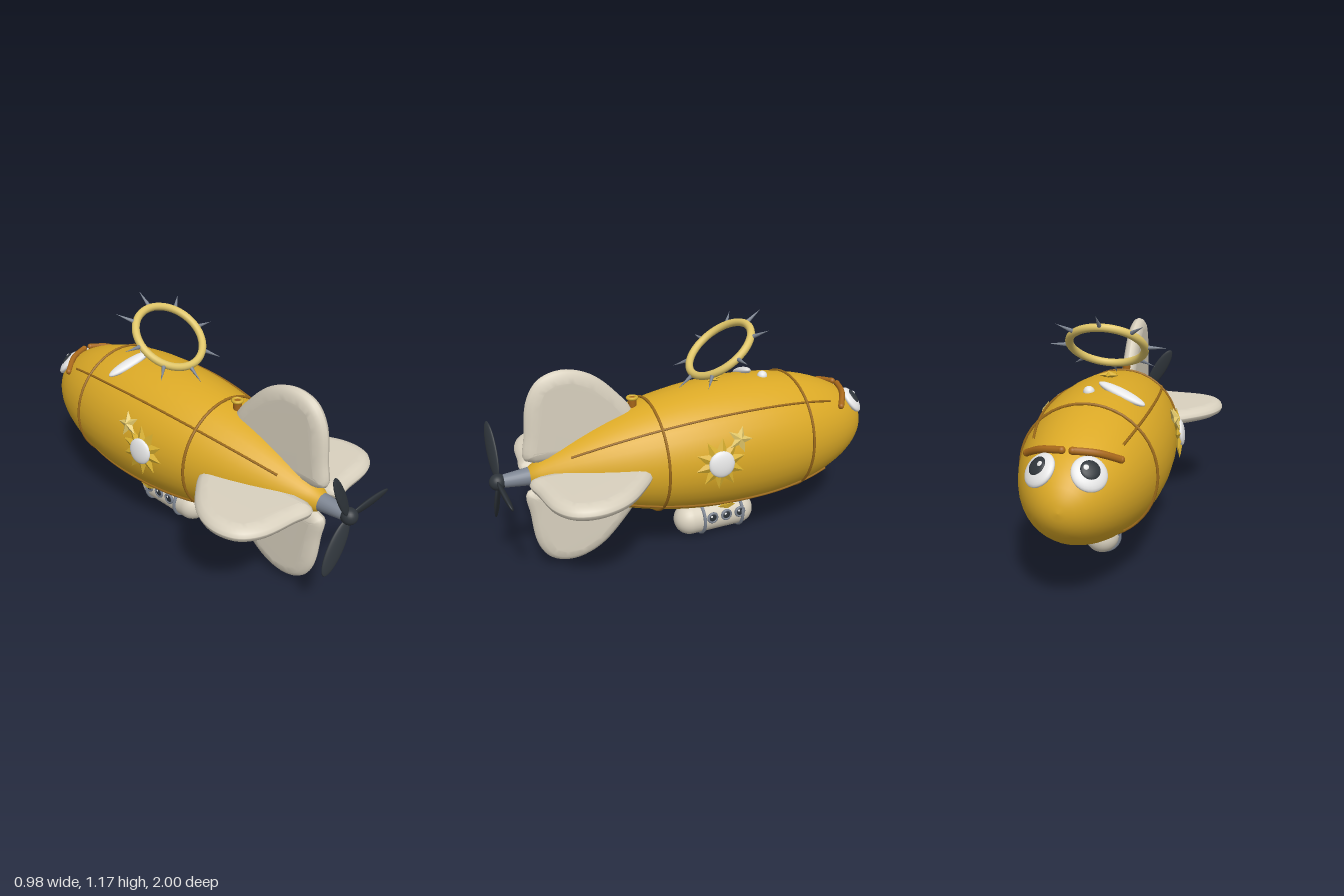
import * as THREE from 'three';
import { mergeVertices } from 'three/addons/utils/BufferGeometryUtils.js';

const AXIS_Y = 0.52;
const paint = (name, color, side = THREE.FrontSide) => {
  const m = new THREE.MeshStandardMaterial({ color, side });
  m.name = name;
  return m;
};

// Hull radius along z: elliptical nose, tapering tail
const hullRadius = (z) => z < -0.25
  ? 0.33 * Math.sqrt(Math.max(0, 1 - ((z + 0.25) / 0.75) ** 2))
  : 0.33 * (1 - ((z + 0.25) / 1.14) ** 2.16);

const hullPoint = (z, a, lift = 0) => {
  const r = hullRadius(z) + lift;
  return new THREE.Vector3(Math.cos(a) * r, AXIS_Y + Math.sin(a) * r, z);
};

// Seat an object on the hull with its local +z along the surface normal
function seat(object, z, a, lift = 0) {
  const slope = (hullRadius(z + 0.005) - hullRadius(z - 0.005)) / 0.01;
  const n = new THREE.Vector3(Math.cos(a), Math.sin(a), -slope).normalize();
  object.position.copy(hullPoint(z, a)).addScaledVector(n, lift);
  object.quaternion.setFromUnitVectors(new THREE.Vector3(0, 0, 1), n);
  return object;
}

// Faceted star with a raised centre
function starGeometry(points, outer, inner, height) {
  const pos = [];
  const corner = (i) => {
    const r = i % 2 ? inner : outer, a = Math.PI / 2 + (i * Math.PI) / points;
    return [Math.cos(a) * r, Math.sin(a) * r, 0];
  };
  for (let i = 0; i < points * 2; i++) {
    pos.push(0, 0, height, ...corner(i), ...corner(i + 1));
    pos.push(0, 0, -height, ...corner(i + 1), ...corner(i));
  }
  const g = new THREE.BufferGeometry();
  g.setAttribute('position', new THREE.Float32BufferAttribute(pos, 3));
  g.computeVertexNormals();
  return g;
}

export function createModel() {
  const model = new THREE.Group();
  model.name = 'airship';
  const gold = paint('hull gold', 0xdba926);
  const cream = paint('cream', 0xd9d1bf);
  const pale = paint('pale gold', 0xdfc568);
  const dark = paint('charcoal', 0x2f353b);
  const steel = paint('steel', 0x7d8592);
  const seam = paint('seam brown', 0x9c6a1a);
  const brow = paint('brow brown', 0xa8681a);
  const white = paint('white', 0xe6e6e6);
  const badge = paint('badge gold', 0xd8b030);

  const add = (name, geometry, material, parent = model) => {
    const m = new THREE.Mesh(geometry, material);
    m.name = name;
    parent.add(m);
    return m;
  };
  const group = (name, parent = model) => {
    const g = new THREE.Group();
    g.name = name;
    parent.add(g);
    return g;
  };
  const ball = (r) => new THREE.SphereGeometry(r, 24, 16);

  // Hull
  const profile = [];
  for (let i = 0; i <= 16; i++) {
    const z = -0.25 - 0.75 * Math.cos((i / 16) * Math.PI / 2);
    profile.push(new THREE.Vector2(hullRadius(z), z));
  }
  for (let i = 1; i <= 18; i++) {
    const z = -0.25 + (1.08 * i) / 18;
    profile.push(new THREE.Vector2(hullRadius(z), z));
  }
  profile.push(new THREE.Vector2(0, 0.83));
  add('hull', new THREE.LatheGeometry(profile, 36).rotateX(Math.PI / 2), gold).position.y = AXIS_Y;

  // Hull seams: two hoops and four lengthwise lines
  for (const z of [-0.54, 0.23]) {
    add('hoopSeam', new THREE.TorusGeometry(hullRadius(z) + 0.003, 0.007, 8, 48), seam).position.set(0, AXIS_Y, z);
  }
  for (let k = 0; k < 4; k++) {
    const path = [];
    for (let i = 0; i <= 14; i++) path.push(hullPoint(-0.7 + (1.34 * i) / 14, Math.PI / 4 + (k * Math.PI) / 2, 0.003));
    add('lengthSeam', new THREE.TubeGeometry(new THREE.CatmullRomCurve3(path), 40, 0.006, 6), seam);
  }

  // Four padded tail fins
  const outline = [[0.83, 0.08], [0.825, 0.2], [0.8, 0.37], [0.74, 0.457], [0.63, 0.488], [0.5, 0.45],
    [0.38, 0.345], [0.295, 0.22], [0.34, 0.12], [0.55, 0.075]].map(([z, r]) => new THREE.Vector3(z, r, 0));
  const smooth = new THREE.CatmullRomCurve3(outline, true).getPoints(48).slice(0, -1);
  let finGeometry = new THREE.ExtrudeGeometry(new THREE.Shape(smooth.map((p) => new THREE.Vector2(p.x, p.y))), {
    depth: 0.004, bevelThickness: 0.035, bevelSize: 0.055, bevelOffset: -0.055, bevelSegments: 3,
  });
  finGeometry.translate(0, 0, -0.002).rotateY(-Math.PI / 2);
  finGeometry.deleteAttribute('uv');
  finGeometry.deleteAttribute('normal');
  finGeometry = mergeVertices(finGeometry, 1e-4);
  finGeometry.computeVertexNormals();
  for (let k = 0; k < 4; k++) {
    const fin = add('tailFin', finGeometry, cream);
    fin.position.y = AXIS_Y;
    fin.rotation.z = (k * Math.PI) / 2;
  }

  // Propeller
  const propeller = group('propeller');
  propeller.position.set(0, AXIS_Y, 0.96);
  add('shaft', new THREE.CylinderGeometry(0.029, 0.045, 0.15, 24).rotateX(Math.PI / 2), steel, propeller).position.z = -0.085;
  add('hub', ball(0.039), dark, propeller);
  for (let k = 0; k < 3; k++) {
    const arm = group('bladeArm', propeller);
    arm.rotation.z = (k * Math.PI * 2) / 3;
    const blade = add('blade', ball(1), dark, arm);
    blade.scale.set(0.135, 0.041, 0.012);
    blade.position.x = 0.15;
    blade.rotation.x = 0.4;
  }

  // Tilted halo with spikes
  const halo = group('halo');
  halo.position.set(0, 1.003, -0.16);
  halo.rotation.x = -0.91;
  add('haloRing', new THREE.TorusGeometry(0.177, 0.019, 14, 56), pale, halo);
  for (let k = 0; k < 8; k++) {
    const arm = group('spikeArm', halo);
    arm.rotation.z = (k * Math.PI) / 4;
    add('spike', new THREE.ConeGeometry(0.011, 0.095, 10), steel, arm).position.y = 0.234;
  }

  // Sun badges and stars on both flanks
  for (const side of [0, 1]) {
    const mirror = (a) => (side ? Math.PI - a : a);
    const sun = seat(group('sunBadge'), -0.01, mirror(0.11), 0.006);
    add('sunRays', starGeometry(10, 0.125, 0.075, 0.03), badge, sun);
    const disc = add('sunDisc', ball(0.064), white, sun);
    disc.scale.z = 0.3;
    disc.position.z = 0.014;
    seat(add('paleStar', starGeometry(5, 0.065, 0.028, 0.02), pale), -0.11, mirror(0.41), 0.022);
    seat(add('lowerStar', starGeometry(5, 0.048, 0.021, 0.018), badge), -0.11, mirror(-0.915), 0.008);
  }
  seat(add('topStar', starGeometry(5, 0.05, 0.021, 0.018), badge), -0.12, Math.PI / 2, 0.01);
  seat(add('bellyStar', starGeometry(4, 0.04, 0.014, 0.012), white), -0.42, -Math.PI / 2, 0.005);

  // Eyes and brows
  for (const s of [1, -1]) {
    const eye = seat(group('eye'), -0.9, s > 0 ? 0.93 : Math.PI - 0.93, 0.002);
    add('eyeWhite', ball(0.075), white, eye).scale.z = 0.36;
    const pupil = add('pupil', ball(0.041), dark, eye);
    pupil.scale.z = 0.3;
    pupil.position.set(-s * 0.008, 0, 0.021);
    const glint = add('glint', ball(0.012), white, eye);
    glint.scale.z = 0.4;
    glint.position.set(-s * 0.02, 0.016, 0.03);

    const arc = new THREE.CatmullRomCurve3([[0.022, 0.727, -0.858], [0.115, 0.712, -0.825], [0.195, 0.672, -0.767]]
      .map(([x, y, z]) => new THREE.Vector3(s * x, y, z)));
    add('brow', new THREE.TubeGeometry(arc, 16, 0.016, 8), brow);
    for (const t of [0, 1]) add('browEnd', ball(0.016), brow).position.copy(arc.getPoint(t));
  }

  // White plume and bead on the crown
  const plume = add('plume', ball(1), white);
  plume.scale.set(0.12, 0.022, 0.036);
  plume.position.set(-0.11, 0.828, -0.348);
  plume.rotation.set(0, -0.23, 0.35);
  add('bead', ball(0.026), white).position.set(0.03, 0.84, -0.388);

  // Valve ahead of the upper fin
  add('valve', new THREE.CylinderGeometry(0.022, 0.018, 0.06, 16), brow).position.set(0, 0.795, 0.3);
  add('valveRim', new THREE.TorusGeometry(0.022, 0.008, 8, 20).rotateX(Math.PI / 2), badge).position.set(0, 0.823, 0.3);

  // Gondola with bands and portholes
  const gondola = group('gondola');
  gondola.position.set(0, 0.1, -0.138);
  add('cabin', new THREE.CapsuleGeometry(0.083, 0.28, 10, 28).rotateX(Math.PI / 2), cream, gondola);
  for (const z of [0.088, -0.132]) {
    add('band', new THREE.TorusGeometry(0.086, 0.009, 8, 36), steel, gondola).position.z = z;
  }
  add('strut', new THREE.CylinderGeometry(0.008, 0.008, 0.11, 8), steel, gondola).position.set(0, 0.075, -0.19);
  for (const s of [1, -1]) {
    for (let k = 0; k < 3; k++) {
      const port = group('porthole', gondola);
      port.position.set(s * 0.081, 0.02, 0.043 - k * 0.08);
      port.rotation.y = (s * Math.PI) / 2;
      add('portRim', new THREE.TorusGeometry(0.025, 0.007, 8, 20), steel, port);
      const glass = add('portGlass', ball(0.024), dark, port);
      glass.scale.z = 0.25;
      const shine = add('portShine', ball(0.007), white, port);
      shine.position.set(-0.007, 0.008, 0.004);
      shine.scale.z = 0.4;
    }
  }
  return model;
}
